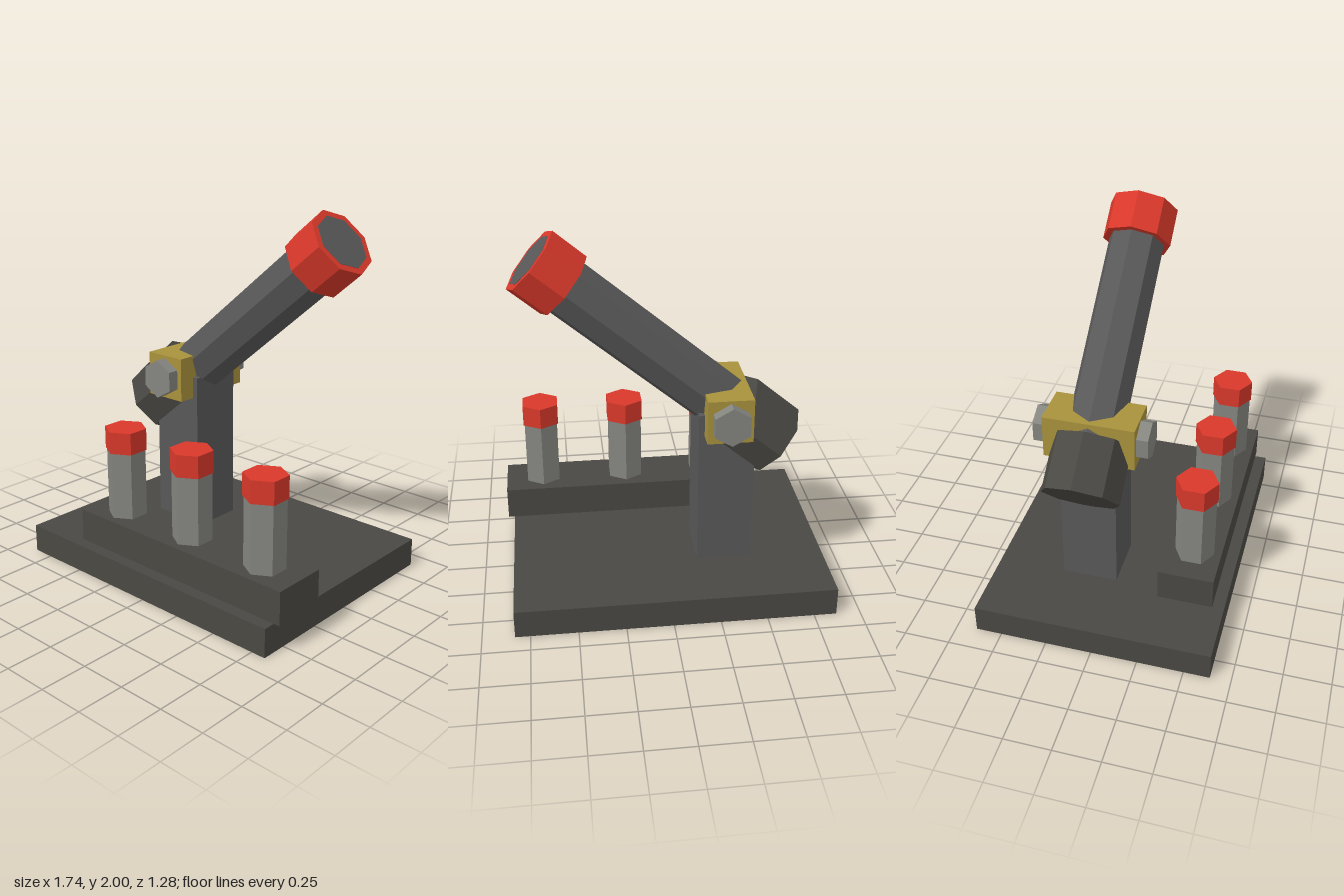
import * as THREE from 'three';

const mat = (color) => new THREE.MeshStandardMaterial({ color, flatShading: true });

export function createModel() {
  const model = new THREE.Group();
  const slate = mat(0x4a4843), iron = mat(0x585858), steel = mat(0x84857f);
  const red = mat(0xd8382a), brass = mat(0xa8923c);

  const add = (parent, name, geometry, material, x, y, z) => {
    const mesh = new THREE.Mesh(geometry, material);
    mesh.name = name;
    mesh.position.set(x, y, z);
    parent.add(mesh);
    return mesh;
  };
  // Box given by its lower and upper corners
  const box = (name, material, [x0, y0, z0], [x1, y1, z1]) =>
    add(model, name, new THREE.BoxGeometry(x1 - x0, y1 - y0, z1 - z0), material,
      (x0 + x1) / 2, (y0 + y1) / 2, (z0 + z1) / 2);
  // Upright prism between two heights
  const prism = (parent, name, material, sides, radius, y0, y1) =>
    add(parent, name, new THREE.CylinderGeometry(radius, radius, y1 - y0, sides), material,
      0, (y0 + y1) / 2, 0);

  // Base, rail and post
  box('base', slate, [-0.87, 0, -0.64], [0.83, 0.155, 0.64]);
  box('shellRail', slate, [-0.53, 0.155, 0.275], [0.865, 0.335, 0.575]);
  box('post', iron, [-0.47, 0.155, -0.27], [-0.17, 1.035, 0.03]);

  // Row of red-tipped shells
  for (const x of [-0.32, 0.165, 0.65]) {
    const shell = new THREE.Group();
    shell.name = 'shell';
    shell.position.set(x, 0, 0.428);
    prism(shell, 'shellBody', steel, 6, 0.107, 0.335, 0.705);
    prism(shell, 'shellCap', red, 6, 0.114, 0.705, 0.825);
    model.add(shell);
  }

  // Pivot block with a hexagonal pin through it
  box('pivotBlock', brass, [-0.44, 0.918, -0.363], [-0.2, 1.157, 0.123]);
  const pin = add(model, 'pivotPin', new THREE.CylinderGeometry(0.106, 0.106, 0.61, 6), steel,
    -0.32, 1.037, -0.12);
  pin.rotation.x = Math.PI / 2;

  // Barrel raised 40 degrees about the pivot
  const gun = new THREE.Group();
  gun.name = 'gun';
  gun.position.set(-0.32, 1.037, -0.12);
  gun.rotation.z = -THREE.MathUtils.degToRad(50);
  prism(gun, 'breech', slate, 8, 0.21, -0.36, -0.06);
  prism(gun, 'barrel', iron, 8, 0.152, -0.1, 1.275);
  prism(gun, 'muzzle', red, 8, 0.187, 1.063, 1.273);
  model.add(gun);

  return model;
}
